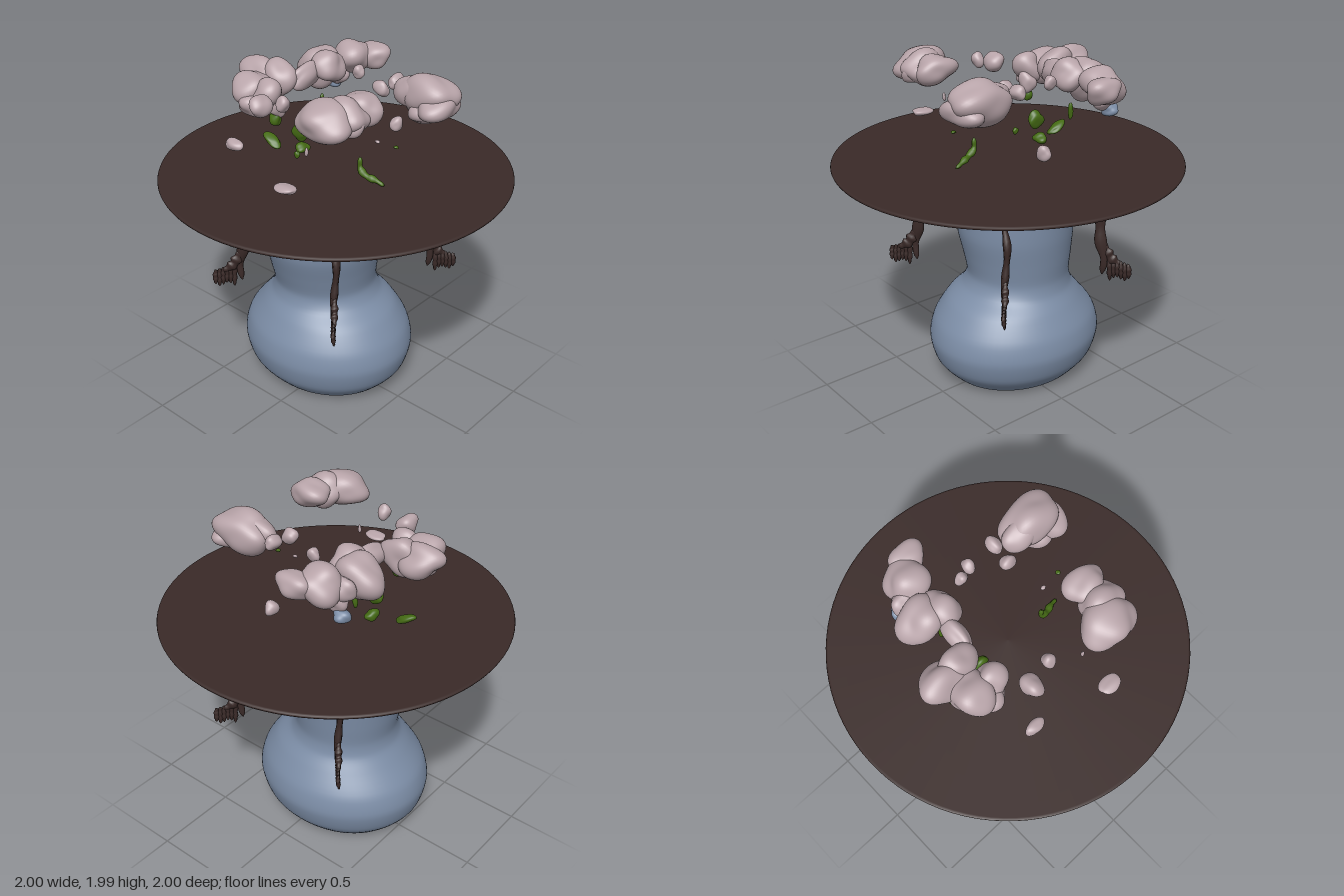
import * as THREE from 'three';
import { mergeVertices } from 'three/addons/utils/BufferGeometryUtils.js';

const mat = (color, side = THREE.FrontSide) => new THREE.MeshStandardMaterial({ color, side });
const blue = mat(0x7c8da6, THREE.DoubleSide);
const brown = mat(0x3a2a28);
const pink = mat(0xb8a4a9);
const green = mat(0x456b14);

function add(parent, name, geometry, material, pos = [0, 0, 0]) {
  const mesh = new THREE.Mesh(geometry, material);
  mesh.name = name;
  mesh.position.set(...pos);
  parent.add(mesh);
  return mesh;
}

// Drop seams so the recomputed normals are smooth
function weld(geometry) {
  geometry.deleteAttribute('uv');
  geometry.deleteAttribute('normal');
  const g = mergeVertices(geometry, 1e-5);
  g.computeVertexNormals();
  return g;
}

// Lumpy ellipsoid: a sphere pushed in and out by slow waves
function lump([rx, ry, rz], seed, amount = 0.13) {
  const g = weld(new THREE.IcosahedronGeometry(1, 9));
  const p = g.attributes.position;
  const v = new THREE.Vector3();
  for (let i = 0; i < p.count; i++) {
    v.fromBufferAttribute(p, i);
    const k = 1 + amount * (Math.sin(2.6 * v.x + seed * 1.7) * Math.cos(2.9 * v.y + seed)
      + 0.7 * Math.sin(3.4 * v.z + 2.1 * v.y + seed * 2.3));
    p.setXYZ(i, v.x * k * rx, v.y * k * ry, v.z * k * rz);
  }
  g.computeVertexNormals();
  return g;
}

// Tube that narrows towards both ends, flattened across z
function taper(points, radius, flat = 1, segments = 24) {
  const curve = new THREE.CatmullRomCurve3(points.map((a) => new THREE.Vector3(...a)));
  const g = new THREE.TubeGeometry(curve, segments, 1, 8);
  const p = g.attributes.position;
  for (let i = 0; i < p.count; i++) {
    const t = Math.floor(i / 9) / segments;
    const c = curve.getPointAt(t);
    const r = radius * (0.08 + 0.92 * Math.pow(Math.sin(Math.PI * t), 0.5)) * (1 + 0.18 * Math.sin(t * 21));
    p.setXYZ(i, c.x + (p.getX(i) - c.x) * r, c.y + (p.getY(i) - c.y) * r, c.z + (p.getZ(i) - c.z) * r * flat);
  }
  return weld(g);
}

// Vase: slightly off-centre oval rings, each [y, centre x, centre z, radius x, radius z]
function vaseGeometry() {
  const rings = [
    [0.02, -0.06, 0.01, 0, 0], [0.02, -0.06, 0.01, 0.36, 0.3], [0.005, -0.06, 0.01, 0.375, 0.32],
    [0.03, -0.06, 0.01, 0.42, 0.365], [0.13, -0.058, 0.01, 0.505, 0.445], [0.26, -0.057, 0.008, 0.537, 0.478],
    [0.38, -0.055, 0.008, 0.505, 0.455], [0.5, -0.05, 0.008, 0.415, 0.385], [0.58, -0.07, 0.006, 0.335, 0.325],
    [0.66, -0.08, 0.005, 0.308, 0.305], [0.78, -0.08, 0.015, 0.322, 0.325], [0.93, -0.075, 0.028, 0.342, 0.352],
    [1.1, -0.075, 0.03, 0.338, 0.357], [1.24, -0.075, 0.03, 0.33, 0.357], [1.29, -0.075, 0.03, 0.328, 0.353],
    [1.29, -0.075, 0.03, 0.298, 0.323], [1.2, -0.075, 0.03, 0.296, 0.32], [0.9, -0.075, 0.03, 0.3, 0.31],
    [0.88, -0.075, 0.03, 0, 0],
  ];
  const uniform = (pick) => new THREE.CatmullRomCurve3(rings.map(pick), false, 'catmullrom', 0.4);
  const centre = uniform(([y, cx, cz]) => new THREE.Vector3(cx, y, cz));
  const radius = uniform(([y, , , rx, rz]) => new THREE.Vector3(rx, y, rz));
  const steps = (rings.length - 1) * 5;
  const column = Array.from({ length: steps + 1 }, (_, i) => new THREE.Vector2(1, i / steps));
  const g = new THREE.LatheGeometry(column, 72);
  const p = g.attributes.position;
  for (let i = 0; i < p.count; i++) {
    const c = centre.getPoint(p.getY(i));
    const r = radius.getPoint(p.getY(i));
    p.setXYZ(i, c.x + p.getX(i) * Math.max(0, r.x), c.y, c.z + p.getZ(i) * Math.max(0, r.z));
  }
  return weld(g);
}

// Hanging root in the local x-y plane (x points outward), ending in ragged strands
function rootGroup() {
  const root = new THREE.Group();
  root.name = 'hangingRoot';
  add(root, 'rootStem', taper([[0.49, 1.3, 0], [0.5, 1.2, 0.01], [0.535, 1.05, -0.01],
    [0.545, 0.9, 0], [0.57, 0.78, 0.01], [0.56, 0.68, 0]], 0.034, 0.6), brown);
  add(root, 'rootElbow', taper([[0.56, 0.88, 0], [0.61, 0.79, 0], [0.67, 0.75, 0]], 0.032, 0.6), brown);
  for (let i = 0; i < 6; i++) {
    const x = 0.6 + i * 0.022;
    const drop = 0.64 + 0.025 * Math.abs(Math.sin(i * 2.3));
    add(root, 'rootStrand', taper([[x, 0.8 - i * 0.008, 0], [x + 0.005, 0.74, 0.006], [x + 0.008, drop, 0]], 0.017, 0.7, 10), brown);
  }
  return root;
}

export function createModel() {
  const model = new THREE.Group();
  add(model, 'vase', vaseGeometry(), blue);

  // Wide thin disc with a slightly rounded edge
  const edge = [[0, 1.363], [0.985, 1.366], [0.997, 1.369], [1, 1.376], [0.997, 1.383], [0.985, 1.386], [0, 1.383]];
  add(model, 'disc', new THREE.LatheGeometry(edge.map(([x, y]) => new THREE.Vector2(x, y)), 96), brown);

  // Four roots on the diagonals
  for (const sx of [-1, 1]) for (const sz of [-1, 1]) {
    const root = rootGroup();
    root.rotation.y = -Math.atan2(sz * 0.42, sx * 0.36);
    model.add(root);
  }

  // Short bark shards between rim and disc
  for (const [x, z] of [[0.2, 0.28], [0.2, -0.28], [0.27, 0.14], [-0.2, 0.24], [-0.2, -0.24]]) {
    add(model, 'barkShard', taper([[x - 0.03, 1.34, z], [x, 1.3, z], [x + 0.01, 1.24, z], [x, 1.18, z]], 0.026, 0.7, 12), brown);
  }

  // Blossom clouds: [centre, radii]
  const clouds = {
    backLeftCloud: [
      [[-0.19, 1.86, -0.55], [0.1, 0.08, 0.085]], [[-0.28, 1.85, -0.46], [0.12, 0.1, 0.11]],
      [[-0.36, 1.82, -0.39], [0.075, 0.075, 0.06]], [[-0.36, 1.83, -0.25], [0.13, 0.12, 0.11]],
      [[-0.25, 1.86, -0.22], [0.09, 0.09, 0.1]], [[-0.29, 1.84, -0.07], [0.05, 0.07, 0.12]],
      [[-0.34, 1.75, -0.4], [0.06, 0.06, 0.06]],
    ],
    frontLeftCloud: [
      [[-0.51, 1.84, 0.06], [0.125, 0.09, 0.1]], [[-0.4, 1.83, 0.05], [0.11, 0.11, 0.09]],
      [[-0.44, 1.8, 0.19], [0.12, 0.11, 0.12]], [[-0.32, 1.8, 0.21], [0.085, 0.09, 0.085]],
      [[-0.38, 1.75, 0.27], [0.09, 0.07, 0.07]], [[-0.28, 1.73, 0.17], [0.05, 0.06, 0.05]],
    ],
    frontRightCloud: [
      [[0.29, 1.88, 0.41], [0.15, 0.1, 0.135]], [[0.35, 1.91, 0.2], [0.115, 0.08, 0.095]],
      [[0.34, 1.89, 0.31], [0.12, 0.09, 0.1]], [[0.4, 1.87, 0.33], [0.065, 0.06, 0.06]],
    ],
    backRightCloud: [
      [[0.41, 1.85, -0.28], [0.17, 0.115, 0.12]], [[0.5, 1.81, -0.26], [0.1, 0.08, 0.13]],
      [[0.33, 1.86, -0.25], [0.11, 0.085, 0.08]], [[0.42, 1.76, -0.22], [0.08, 0.06, 0.07]],
    ],
  };
  let seed = 1;
  for (const [name, lumps] of Object.entries(clouds)) {
    const cloud = new THREE.Group();
    cloud.name = name;
    for (const [pos, radii] of lumps) add(cloud, 'blossomLump', lump(radii, seed++), pink, pos);
    model.add(cloud);
  }

  // Loose petals
  const petals = [
    [[0.1, 1.54, -0.42], [0.035, 0.045, 0.045]], [[-0.07, 1.86, -0.27], [0.036, 0.04, 0.03]],
    [[0.17, 1.85, -0.18], [0.05, 0.045, 0.035]], [[0.18, 1.86, -0.3], [0.035, 0.04, 0.06]],
    [[-0.2, 1.82, 0.38], [0.055, 0.06, 0.068]], [[-0.06, 1.86, 0.35], [0.035, 0.045, 0.038]],
    [[-0.29, 1.61, 0.5], [0.06, 0.032, 0.035]], [[0.175, 1.537, 0.59], [0.07, 0.022, 0.045]],
    [[0.15, 1.665, 0.4], [0.01, 0.025, 0.01]], [[0.28, 1.62, -0.02], [0.016, 0.008, 0.012]],
  ];
  for (const [pos, radii] of petals) add(model, 'petal', lump(radii, seed++, 0.1), pink, pos);
  add(model, 'blueBud', lump([0.05, 0.04, 0.045], 3), blue, [-0.38, 1.685, -0.42]);

  // Leaves and buds
  const leaves = [
    [[-0.24, 1.54, 0.04], [0.052, 0.05, 0.028], 0], [[-0.43, 1.445, 0.07], [0.065, 0.022, 0.04], -0.4],
    [[-0.17, 1.46, 0.14], [0.018, 0.02, 0.016], 0], [[-0.25, 1.43, 0.01], [0.035, 0.03, 0.045], 0],
    [[-0.31, 1.345, 0], [0.05, 0.012, 0.05], 0], [[-0.18, 1.3, 0.1], [0.12, 0.014, 0.08], 0],
    [[-0.29, 1.655, 0.18], [0.035, 0.045, 0.03], 0], [[-0.29, 1.64, -0.2], [0.015, 0.05, 0.015], 0],
    [[0.4, 1.62, -0.03], [0.015, 0.008, 0.012], 0],
  ];
  for (const [pos, radii, tilt] of leaves) add(model, 'leaf', lump(radii, seed++), green, pos).rotation.z = tilt;
  add(model, 'sproutStem', taper([[0.21, 1.53, 0.04], [0.215, 1.46, 0.04], [0.25, 1.43, 0.04],
    [0.31, 1.41, 0.02], [0.36, 1.39, 0.01]], 0.02), green);
  return model;
}
